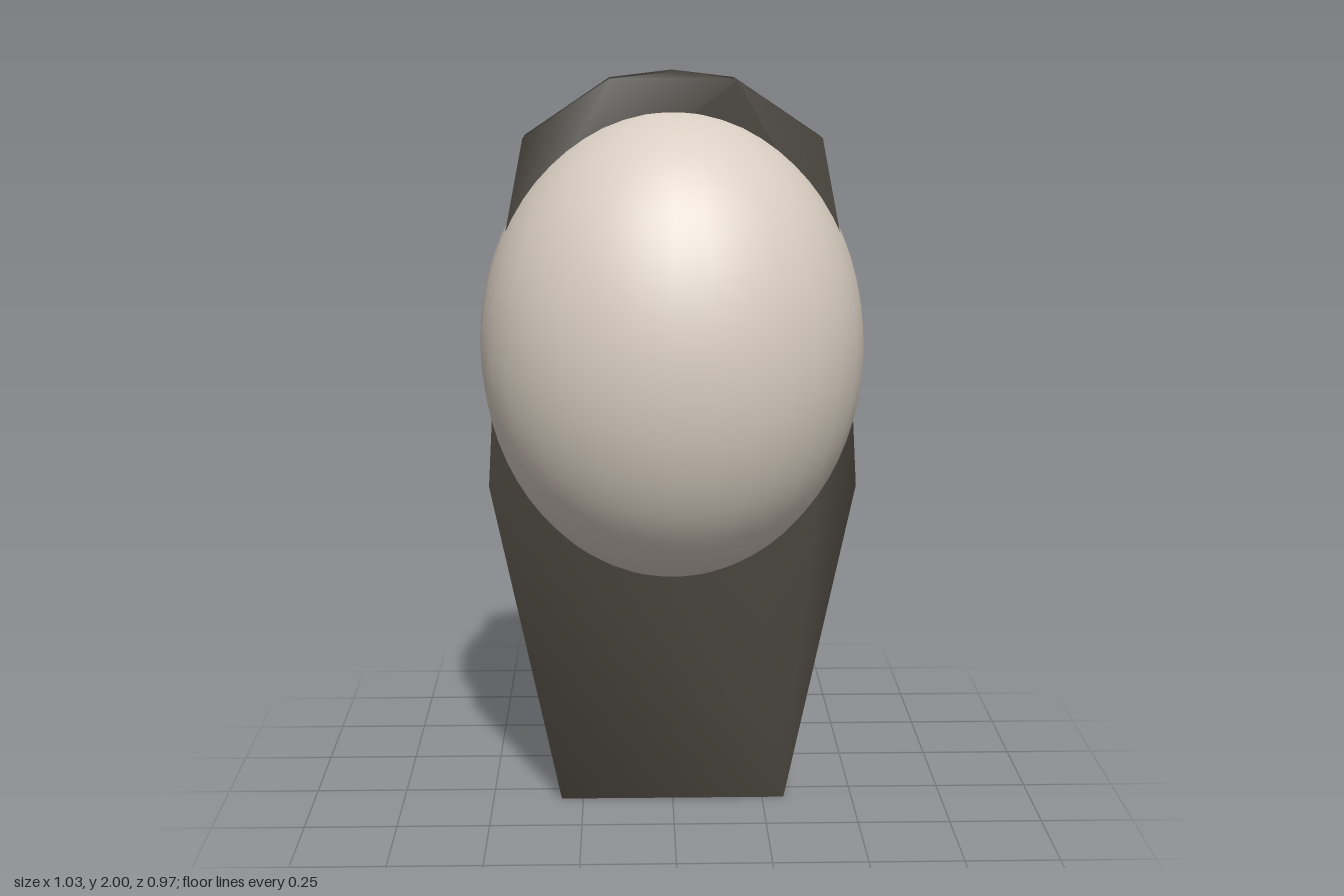
import * as THREE from 'three';
import { mergeVertices } from 'three/addons/utils/BufferGeometryUtils.js';

export function createModel() {
  const group = new THREE.Group();
  const light = new THREE.MeshStandardMaterial({ color: 0xd9cec2 });
  const dark = new THREE.MeshStandardMaterial({ color: 0x45413a });

  // Upright flat plate: half outline from foot to crown, mirrored across x
  const half = [[0.31, 0], [0.495, 0.9], [0.46, 1.48], [0.39, 1.83], [0.165, 1.98]];
  const mirrored = half.map(([x, y]) => [-x, y]).reverse();
  const outline = [...half, [0, 2], ...mirrored].map(([x, y]) => new THREE.Vector2(x, y));
  const depth = 0.14;
  let plateGeometry = new THREE.ExtrudeGeometry(new THREE.Shape(outline), { depth, bevelEnabled: false });
  plateGeometry.translate(0, 0, -depth / 2);

  // Shared corners give the plate soft shading over its edges
  plateGeometry.deleteAttribute('normal');
  plateGeometry.deleteAttribute('uv');
  plateGeometry = mergeVertices(plateGeometry);
  plateGeometry.computeVertexNormals();
  const plate = new THREE.Mesh(plateGeometry, dark);
  plate.name = 'plate';
  group.add(plate);

  // Smooth ellipsoid body pierced by the plate
  const bodyGeometry = new THREE.SphereGeometry(1, 32, 32);
  bodyGeometry.scale(0.515, 0.632, 0.485);
  const body = new THREE.Mesh(bodyGeometry, light);
  body.name = 'body';
  body.position.y = 1.272;
  group.add(body);

  return group;
}
